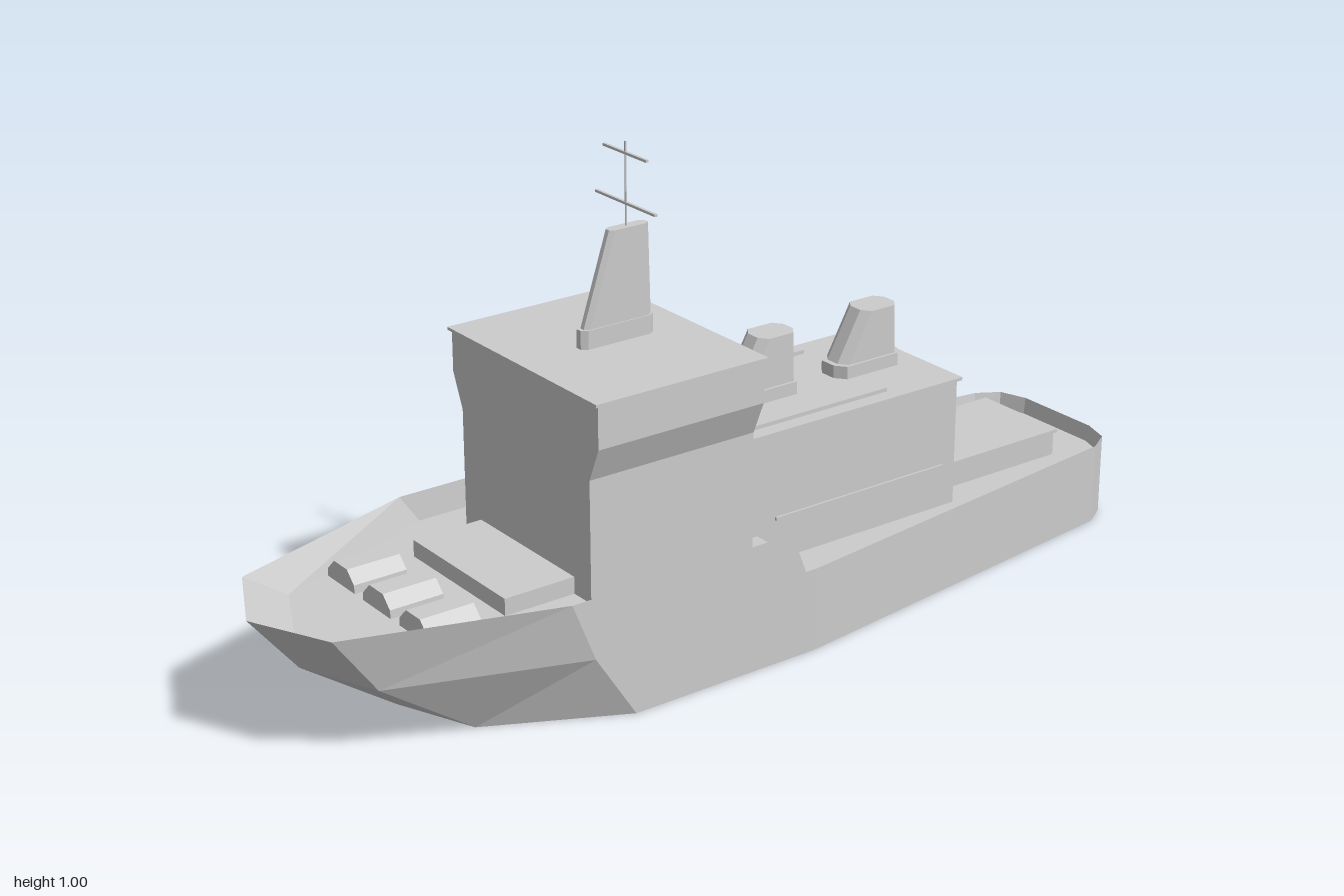
import * as THREE from 'three';

const material = new THREE.MeshStandardMaterial({ color: 0xcccccc, flatShading: true });

function add(parent, name, geometry, x = 0, y = 0, z = 0) {
  const mesh = new THREE.Mesh(geometry, material);
  mesh.name = name;
  mesh.position.set(x, y, z);
  parent.add(mesh);
  return mesh;
}

// Box given by its extents, centred on z = zc
function slab(parent, name, x0, x1, y0, y1, halfZ, zc = 0) {
  return add(parent, name, new THREE.BoxGeometry(x1 - x0, y1 - y0, halfZ * 2),
    (x0 + x1) / 2, (y0 + y1) / 2, zc);
}

function quads(list) {
  const pos = [];
  for (const [a, b, c, d] of list) pos.push(...a, ...b, ...c, ...a, ...c, ...d);
  const geometry = new THREE.BufferGeometry();
  geometry.setAttribute('position', new THREE.Float32BufferAttribute(pos, 3));
  geometry.computeVertexNormals();
  return geometry;
}

// Hull shell, bulwark and deck, lofted through stations from bow to stern
function hullGeometry() {
  // bottom x, knuckle x, rim x, half width, rim y, deck x, deck half width, deck y
  const stations = [
    [-0.7, -0.9, -1, 0, 0.265, -0.905, 0, 0.205],
    [-0.63, -0.83, -0.92, 0.165, 0.265, -0.83, 0.158, 0.205],
    [-0.36, -0.45, -0.5, 0.3, 0.265, -0.46, 0.295, 0.205],
    [0.01, 0.01, 0.01, 0.3, 0.265, 0.03, 0.295, 0.205],
    [0.045, 0.045, 0.045, 0.3, 0.175, 0.055, 0.295, 0.14],
    [0.07, 0.07, 0.07, 0.3, 0.175, 0.07, 0.294, 0.14],
    [0.93, 0.93, 0.93, 0.19, 0.175, 0.925, 0.184, 0.14],
    [0.98, 0.98, 0.98, 0.16, 0.175, 0.974, 0.155, 0.14],
    [1, 1, 1, 0.1, 0.175, 0.994, 0.098, 0.14],
  ];
  const rings = stations.map(([bx, kx, rx, w, ry, dx, dw, dy]) => {
    const half = [[bx, 0, w], [kx, 0.14, w], [rx, ry, w], [dx, dy, dw]];
    return [...half, ...half.map(([x, y, z]) => [x, y, -z]).reverse()];
  });
  const faces = [];
  for (let i = 0; i < rings.length - 1; i++) {
    for (let j = 0; j < 8; j++) {
      const k = (j + 1) % 8;
      faces.push([rings[i][j], rings[i + 1][j], rings[i + 1][k], rings[i][k]]);
    }
  }
  // Transom
  const s = rings[rings.length - 1];
  for (let j = 0; j < 3; j++) faces.push([s[j], s[7 - j], s[6 - j], s[j + 1]]);
  return quads(faces);
}

// Tapered body with a chamfered plan: bottom [x0, x1], top [x0, x1]
function taperedBody(b, t, y0, y1, w, chamfer) {
  const plan = ([x0, x1], y) => [
    [x0, y, w * 0.45], [x0 + chamfer, y, w], [x1 - chamfer, y, w], [x1, y, w * 0.45],
    [x1, y, -w * 0.45], [x1 - chamfer, y, -w], [x0 + chamfer, y, -w], [x0, y, -w * 0.45],
  ];
  const low = plan(b, y0), high = plan(t, y1), faces = [];
  for (let i = 0; i < 8; i++) {
    const k = (i + 1) % 8;
    faces.push([low[i], low[k], high[k], high[i]]);
  }
  for (const [i, j, k, l] of [[0, 1, 6, 7], [1, 2, 5, 6], [2, 3, 4, 5]]) {
    faces.push([high[i], high[j], high[k], high[l]]);
  }
  return quads(faces);
}

// Extrudes a mirrored (half z, y) profile along x
function alongX(halfProfile, x0, x1) {
  const pts = [...halfProfile, ...halfProfile.map(([z, y]) => [-z, y]).reverse()];
  const shape = new THREE.Shape(pts.map(([z, y]) => new THREE.Vector2(z, y)));
  return new THREE.ExtrudeGeometry(shape, { depth: x1 - x0, bevelEnabled: false })
    .rotateY(Math.PI / 2).translate(x0, 0, 0);
}

export function createModel() {
  const ship = new THREE.Group();
  ship.name = 'ship';

  add(ship, 'hull', hullGeometry());

  // Bridge with flared upper sides
  add(ship, 'bridge', alongX(
    [[0.215, 0.19], [0.215, 0.455], [0.245, 0.525], [0.245, 0.612]], -0.4, -0.02));
  slab(ship, 'bridgeRoof', -0.407, -0.013, 0.611, 0.617, 0.25);

  // Aft deckhouse with rails along its sides and roof
  slab(ship, 'deckhouse', -0.03, 0.545, 0.13, 0.412, 0.165);
  slab(ship, 'deckhouseRoof', -0.02, 0.553, 0.411, 0.418, 0.172);
  for (const side of [1, -1]) {
    slab(ship, 'sideRail', 0.075, 0.51, 0.227, 0.234, 0.003, side * 0.167);
    slab(ship, 'roofRail', -0.015, 0.38, 0.417, 0.426, 0.007, side * 0.132);
  }

  // Two raked funnels
  for (const x of [0.075, 0.34]) {
    const funnel = new THREE.Group();
    funnel.name = 'funnel';
    funnel.position.x = x;
    add(funnel, 'funnelBase', taperedBody([0, 0.17], [0, 0.17], 0.417, 0.445, 0.041, 0.018));
    add(funnel, 'funnelStack', taperedBody([0.012, 0.163], [0.07, 0.16], 0.445, 0.549, 0.035, 0.015));
    ship.add(funnel);
  }

  // Mast, pole and yards
  add(ship, 'mastBase', taperedBody([-0.272, -0.104], [-0.272, -0.104], 0.616, 0.655, 0.015, 0.012));
  add(ship, 'mast', taperedBody([-0.264, -0.108], [-0.203, -0.113], 0.655, 0.84, 0.012, 0.01));
  add(ship, 'pole', new THREE.CylinderGeometry(0.002, 0.002, 0.167, 6), -0.16, 0.9215, 0);
  slab(ship, 'lowerYard', -0.163, -0.157, 0.882, 0.887, 0.096);
  slab(ship, 'upperYard', -0.163, -0.157, 0.98, 0.985, 0.069);

  // Low hatches fore and aft
  slab(ship, 'foreHatch', -0.555, -0.395, 0.2, 0.24, 0.16);
  slab(ship, 'aftHatch', 0.54, 0.885, 0.135, 0.193, 0.107);
  slab(ship, 'aftHatchLid', 0.545, 0.89, 0.192, 0.199, 0.113);

  // Sloped lockers on the foredeck
  for (const z of [-0.135, -0.005, 0.125]) {
    add(ship, 'foredeckLocker', alongX([[0.05, 0.2], [0.048, 0.222], [0.024, 0.246]], -0.73, -0.615), 0, 0, z);
  }

  return ship;
}
